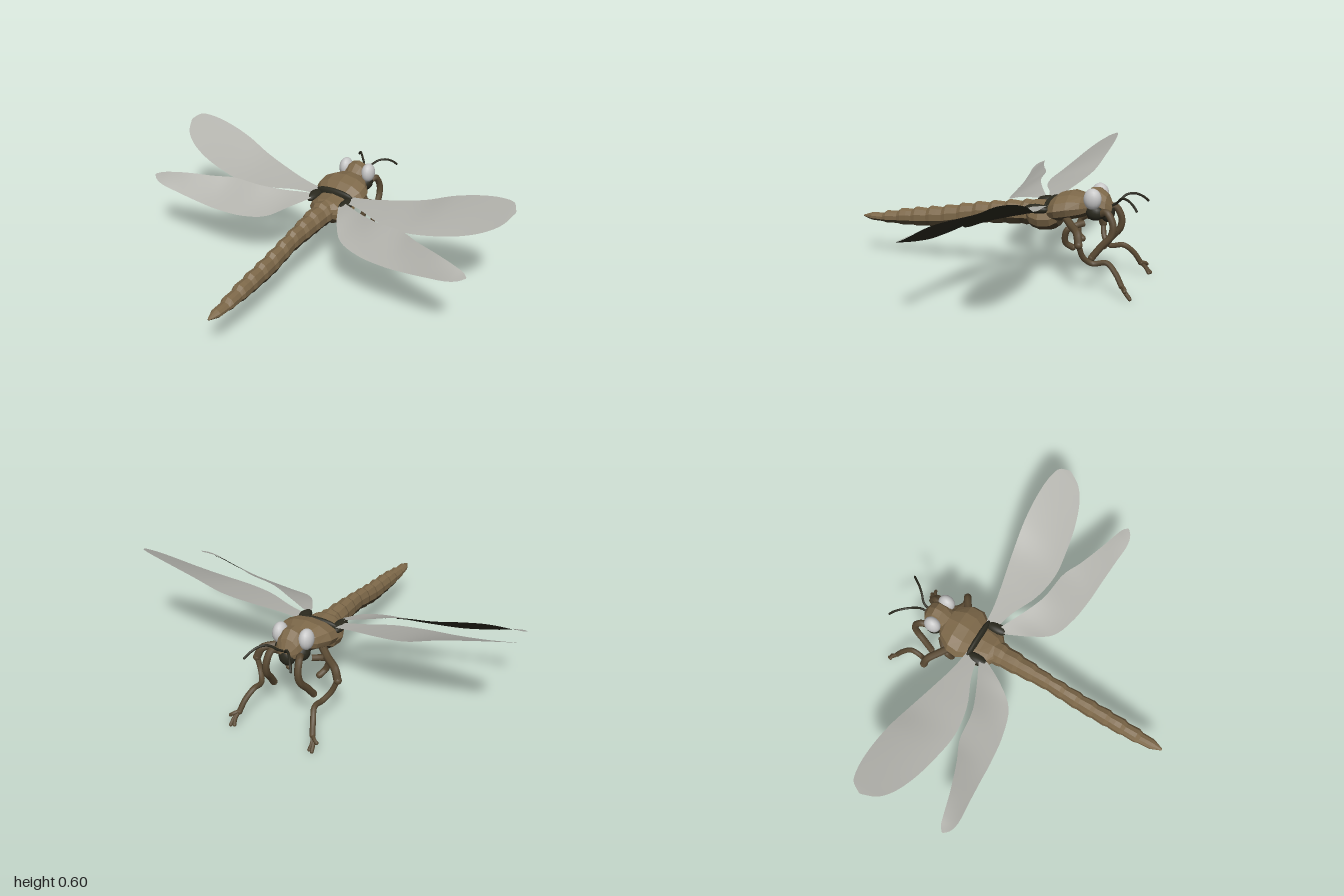
import * as THREE from 'three';

const mat = (name, color, side = THREE.FrontSide) => {
  const m = new THREE.MeshStandardMaterial({ color, side, flatShading: false });
  m.name = name;
  return m;
};

// Closed body lofted along z from sections [z, yTop, yBottom, halfWidth]; lower faces use material 1
function loft(sections, sides = 12) {
  const ring = ([z, t, b, w]) => Array.from({ length: sides }, (_, j) => {
    const a = (j / sides) * Math.PI * 2 + Math.PI / 2;
    return [w * Math.cos(a), (t + b) / 2 + ((t - b) / 2) * Math.sin(a), z];
  });
  const rings = sections.map(ring);
  const upper = [], lower = [];
  for (let j = 0; j < sides; j++) {
    const k = (j + 1) % sides;
    const mid = Math.sin(((j + 0.5) / sides) * Math.PI * 2 + Math.PI / 2);
    const out = mid < -0.45 ? lower : upper;
    for (let i = 0; i < rings.length - 1; i++) {
      const a = rings[i][j], b = rings[i][k], c = rings[i + 1][k], d = rings[i + 1][j];
      out.push(...a, ...b, ...d, ...b, ...c, ...d);
    }
    // End caps
    const s = sections[0], e = sections[sections.length - 1];
    out.push(0, (s[1] + s[2]) / 2, s[0], ...rings[0][k], ...rings[0][j]);
    out.push(0, (e[1] + e[2]) / 2, e[0], ...rings[rings.length - 1][j], ...rings[rings.length - 1][k]);
  }
  const g = new THREE.BufferGeometry();
  g.setAttribute('position', new THREE.Float32BufferAttribute([...upper, ...lower], 3));
  g.addGroup(0, upper.length / 3, 0);
  g.addGroup(upper.length / 3, lower.length / 3, 1);
  g.computeVertexNormals();
  return g;
}

// One wing sheet from rows [x, zLead, yLead, zTrail, yTrail]
function wingSheet(rows, side, up) {
  const lead = new THREE.CatmullRomCurve3(rows.map(r => new THREE.Vector3(r[0] * side, r[2], r[1])));
  const trail = new THREE.CatmullRomCurve3(rows.map(r => new THREE.Vector3(r[0] * side, r[4], r[3])));
  const nu = 40, nv = 6, pos = [], idx = [];
  for (let i = 0; i <= nu; i++) {
    const a = lead.getPoint(i / nu), b = trail.getPoint(i / nu);
    for (let j = 0; j <= nv; j++) {
      const p = a.clone().lerp(b, j / nv);
      pos.push(p.x, p.y + (up ? 0.002 : -0.002), p.z);
    }
  }
  for (let i = 0; i < nu; i++) for (let j = 0; j < nv; j++) {
    const a = i * (nv + 1) + j, b = a + 1, c = a + nv + 1, d = c + 1;
    if ((side > 0) === up) idx.push(a, b, c, b, d, c);
    else idx.push(a, c, b, b, c, d);
  }
  const g = new THREE.BufferGeometry();
  g.setAttribute('position', new THREE.Float32BufferAttribute(pos, 3));
  g.setIndex(idx);
  g.computeVertexNormals();
  return g;
}

export function createModel() {
  const model = new THREE.Group();
  const brown = mat('shell brown', 0x7d6849);
  const belly = mat('belly brown', 0x4a3f2c);
  const limb = mat('limb brown', 0x5a4a33);
  const dark = mat('dark olive', 0x2a291e);
  const pale = mat('wing grey', 0xb0b0aa);
  const white = mat('eye white', 0xc6c6c6);

  const add = (name, geo, material) => {
    const m = new THREE.Mesh(geo, material);
    m.name = name;
    model.add(m);
    return m;
  };
  const ball = (name, p, r, material) => {
    const m = add(name, new THREE.SphereGeometry(1, 16, 12), material);
    m.position.set(...p);
    m.scale.set(...r);
    return m;
  };
  const tube = (name, pts, r, material, side) => {
    const v = pts.map(p => new THREE.Vector3(p[0] * side, p[1], p[2]));
    add(name, new THREE.TubeGeometry(new THREE.CatmullRomCurve3(v), pts.length * 5, r, 7), material);
    ball(name + 'End', v[v.length - 1].toArray(), [r, r, r], material);
  };

  // Abdomen: each segment swells towards its rear edge
  const keys = [[-0.24, 0.4, 0.27, 0.065], [-0.1, 0.385, 0.262, 0.054], [0.1, 0.355, 0.247, 0.038],
    [0.3, 0.315, 0.203, 0.041], [0.5, 0.285, 0.192, 0.041], [0.65, 0.25, 0.195, 0.034],
    [0.74, 0.232, 0.203, 0.022], [0.78, 0.222, 0.214, 0.005]];
  const at = z => {
    let i = 0;
    while (i < keys.length - 2 && z > keys[i + 1][0]) i++;
    const t = (z - keys[i][0]) / (keys[i + 1][0] - keys[i][0]);
    return keys[i].map((v, n) => v + (keys[i + 1][n] - v) * t);
  };
  const abdomen = [];
  for (let i = 0; i < 11; i++) {
    const z = -0.24 + i * 0.0895;
    for (const [f, swell] of [[0, -0.005], [0.35, 0.001], [0.75, 0.007]]) {
      const [zz, t, b, w] = at(z + f * 0.0895);
      abdomen.push([zz, t + swell, b - swell * 0.4, w + swell * 0.5]);
    }
  }
  abdomen.push(keys[keys.length - 1]);
  add('abdomen', loft(abdomen, 10), [brown, belly]);

  // Thorax, collar and head
  add('rearThorax', loft([[-0.36, 0.4, 0.28, 0.09], [-0.33, 0.405, 0.258, 0.115], [-0.27, 0.4, 0.25, 0.12],
    [-0.22, 0.4, 0.262, 0.1], [-0.19, 0.39, 0.29, 0.06]]), [brown, belly]);
  add('frontThorax', loft([[-0.51, 0.44, 0.35, 0.06], [-0.48, 0.455, 0.335, 0.1], [-0.42, 0.465, 0.32, 0.14],
    [-0.36, 0.45, 0.31, 0.145], [-0.32, 0.42, 0.31, 0.115]]), [brown, belly]);
  add('head', loft([[-0.625, 0.41, 0.36, 0.025], [-0.6, 0.46, 0.335, 0.06], [-0.56, 0.492, 0.33, 0.072],
    [-0.52, 0.49, 0.34, 0.07], [-0.48, 0.455, 0.36, 0.05]]), [brown, dark]);
  ball('muzzle', [0, 0.365, -0.6], [0.042, 0.045, 0.035], dark);
  ball('thoraxSeam', [0, 0.395, -0.31], [0.115, 0.03, 0.018], dark);

  // Wing outlines
  const foreWing = [[0.09, -0.32, 0.395, -0.26, 0.39], [0.2, -0.33, 0.41, -0.23, 0.395], [0.35, -0.36, 0.435, -0.165, 0.395],
    [0.5, -0.39, 0.47, -0.14, 0.4], [0.65, -0.41, 0.53, -0.155, 0.42], [0.8, -0.415, 0.575, -0.185, 0.455],
    [0.91, -0.405, 0.597, -0.225, 0.497], [0.97, -0.385, 0.6, -0.27, 0.535], [1.0, -0.34, 0.58, -0.33, 0.575]];
  const hindWing = [[0.09, -0.25, 0.395, -0.2, 0.385], [0.15, -0.22, 0.4, -0.09, 0.365], [0.23, -0.18, 0.405, 0.005, 0.33],
    [0.36, -0.125, 0.42, 0.05, 0.312], [0.52, -0.1, 0.432, 0.072, 0.315], [0.62, -0.055, 0.432, 0.078, 0.325],
    [0.76, -0.005, 0.432, 0.09, 0.35], [0.87, 0.025, 0.42, 0.1, 0.375], [0.92, 0.04, 0.41, 0.088, 0.39],
    [0.945, 0.06, 0.403, 0.066, 0.4]];

  for (const s of [1, -1]) {
    const n = s > 0 ? 'left' : 'right';
    for (const [name, rows] of [['ForeWing', foreWing], ['HindWing', hindWing]]) {
      add(n + name + 'Top', wingSheet(rows, s, true), pale);
      add(n + name + 'Underside', wingSheet(rows, s, false), dark);
    }
    ball(n + 'WingBase', [s * 0.1, 0.378, -0.265], [0.03, 0.024, 0.065], dark);

    // Eye, brow and feeler
    ball(n + 'Eye', [s * 0.07, 0.445, -0.54], [0.036, 0.053, 0.045], white);
    ball(n + 'Cheek', [s * 0.055, 0.375, -0.55], [0.035, 0.04, 0.045], dark);
    tube(n + 'Antenna', [[0.008, 0.4, -0.61], [0.015, 0.42, -0.645], [0.05, 0.455, -0.68],
      [0.08, 0.458, -0.715], [0.105, 0.44, -0.75], [0.122, 0.418, -0.772]], 0.006, dark, s);

    // Long walking leg with three toes
    tube(n + 'Thigh', [[0.08, 0.34, -0.41], [0.14, 0.315, -0.46], [0.2, 0.3, -0.505], [0.222, 0.25, -0.52]], 0.02, limb, s);
    tube(n + 'Shin', [[0.222, 0.25, -0.52], [0.195, 0.185, -0.535], [0.168, 0.15, -0.575], [0.165, 0.16, -0.645],
      [0.185, 0.12, -0.695], [0.2, 0.065, -0.73]], 0.014, limb, s);
    for (const tip of [[0.235, 0.05, -0.755], [0.222, 0.012, -0.778], [0.205, 0.012, -0.772]])
      tube(n + 'Toe', [[0.198, 0.07, -0.725], [(tip[0] + 0.2) / 2 + 0.006, (tip[1] + 0.068) / 2, -0.752], tip], 0.009, limb, s);

    // Folded middle leg
    tube(n + 'MiddleLeg', [[0.07, 0.32, -0.5], [0.11, 0.31, -0.46], [0.125, 0.29, -0.43],
      [0.105, 0.22, -0.42], [0.085, 0.195, -0.45]], 0.016, limb, s);

    // Front leg beside the mouth
    tube(n + 'FrontLeg', [[0.05, 0.36, -0.56], [0.075, 0.385, -0.615], [0.085, 0.33, -0.65], [0.09, 0.275, -0.645],
      [0.1, 0.22, -0.6], [0.11, 0.16, -0.555]], 0.018, limb, s);
  }
  return model;
}
